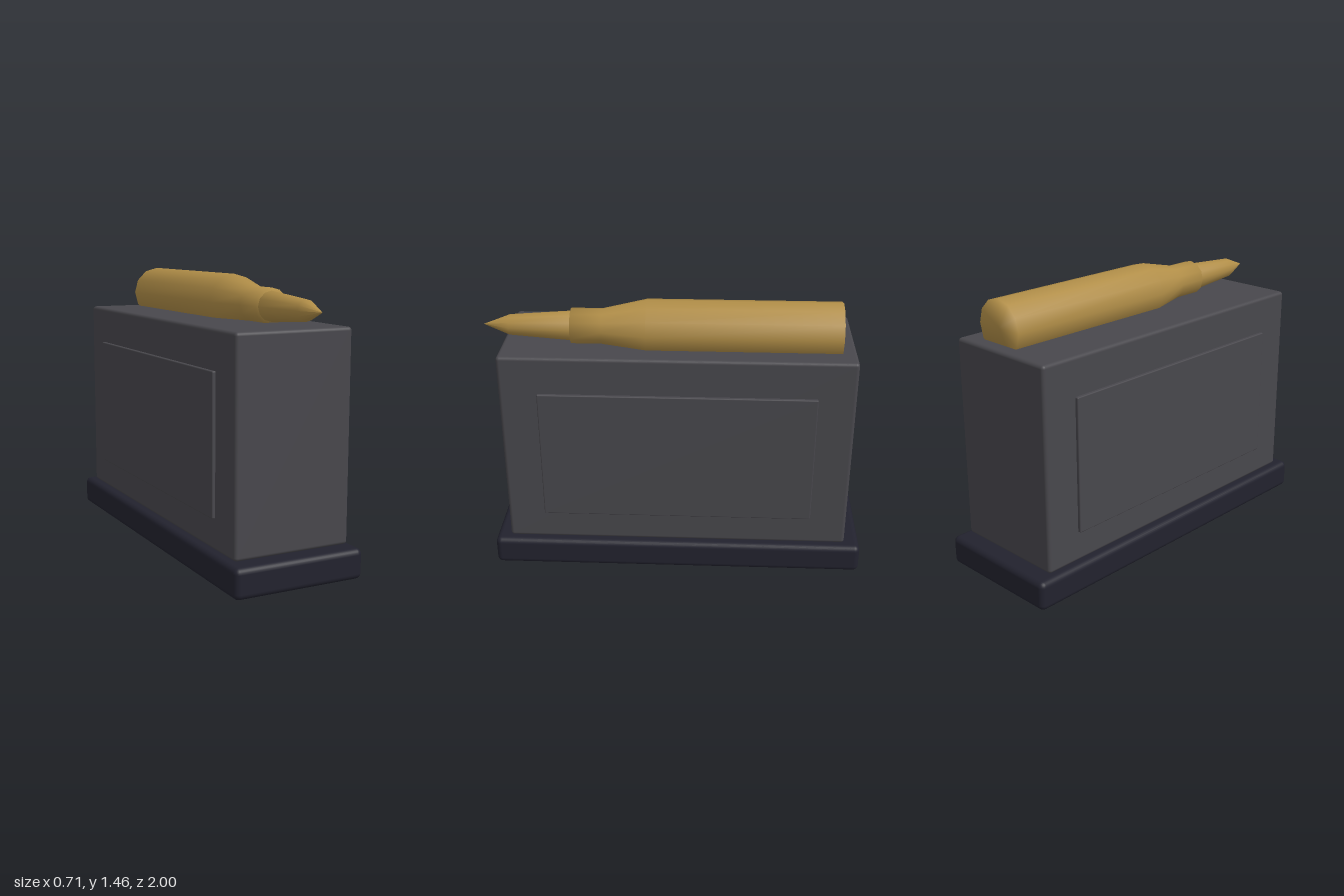
import * as THREE from 'three';
import { RoundedBoxGeometry } from 'three/addons/geometries/RoundedBoxGeometry.js';

const steel = new THREE.MeshStandardMaterial({ name: 'grey steel', color: 0x48474c });
const rubber = new THREE.MeshStandardMaterial({ name: 'dark base', color: 0x22222e });
const brass = new THREE.MeshStandardMaterial({ name: 'brass', color: 0xb08d47 });

export function createModel() {
  const group = new THREE.Group();
  group.name = 'magazine';

  const add = (name, geometry, material, x, y, z) => {
    const mesh = new THREE.Mesh(geometry, material);
    mesh.name = name;
    mesh.position.set(x, y, z);
    group.add(mesh);
  };

  // Rounded block from its size, bottom height and depth centre
  const block = (name, w, h, d, r, material, x, bottom, z) =>
    add(name, new RoundedBoxGeometry(w, h, d, 3, r), material, x, bottom + h / 2, z);

  block('basePlate', 0.706, 0.155, 1.984, 0.03, rubber, 0, 0, -0.008);
  block('body', 0.63, 1.07, 1.817, 0.018, steel, 0, 0.16, -0.006);

  // Raised side panels
  for (const side of [-1, 1]) {
    const name = side > 0 ? 'leftPanel' : 'rightPanel';
    block(name, 0.036, 0.712, 1.426, 0.006, steel, side * 0.314, 0.32, -0.008);
  }

  // Twelve-sided round lying on top, pointing forward; profile is [radius, z]
  const turned = (name, profile) => {
    const points = profile.map(([r, z]) => new THREE.Vector2(r, z));
    add(name, new THREE.LatheGeometry(points, 12).rotateX(Math.PI / 2), brass, 0.078, 1.311, 0);
  };
  turned('cartridgeCase', [
    [0, -0.84], [0.145, -0.84], [0.145, 0.155], [0.092, 0.385], [0.092, 0.545], [0, 0.545],
  ]);
  turned('bullet', [[0, 0.53], [0.078, 0.53], [0.053, 0.865], [0, 1.0]]);

  return group;
}
